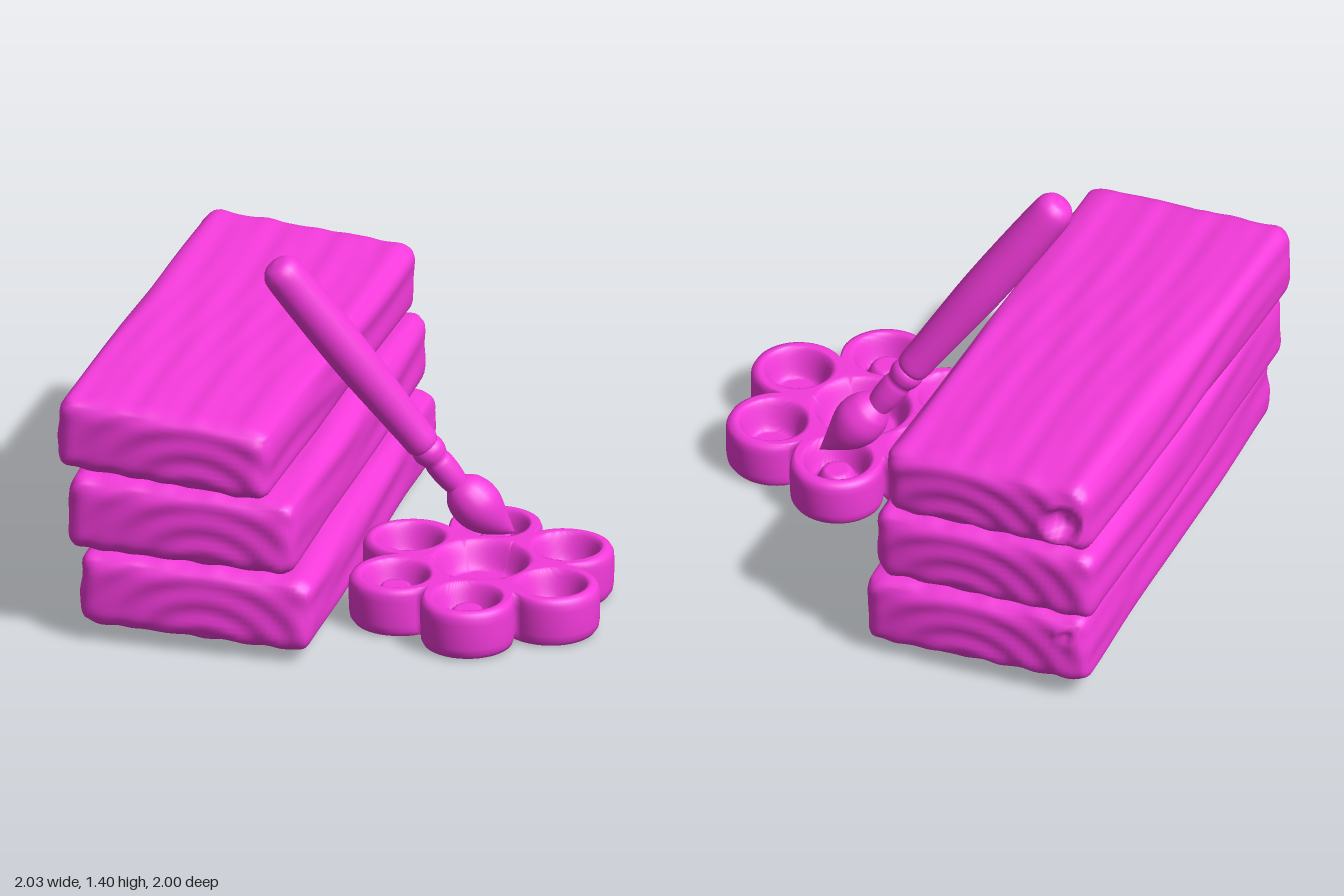
import * as THREE from 'three';
import { mergeVertices } from 'three/addons/utils/BufferGeometryUtils.js';

const material = new THREE.MeshStandardMaterial({ color: 0xf53bdc });
const clamp = THREE.MathUtils.clamp;
const smooth = THREE.MathUtils.smoothstep;

function mesh(name, geometry) {
  const m = new THREE.Mesh(geometry, material);
  m.name = name;
  return m;
}

// Weld shared corners so that normals run smoothly across the surface
function weld(geometry) {
  geometry.deleteAttribute('uv');
  geometry.deleteAttribute('normal');
  const g = mergeVertices(geometry, 1e-5);
  g.computeVertexNormals();
  return g;
}

// Closed surface from rings: f(u, v) returns a point, u along, v around
function rings(f, nu, nv) {
  const pos = [], index = [];
  for (let i = 0; i <= nu; i++) {
    for (let j = 0; j < nv; j++) pos.push(...f(i / nu, j / nv));
  }
  for (let i = 0; i < nu; i++) {
    for (let j = 0; j < nv; j++) {
      const a = i * nv + j, b = i * nv + (j + 1) % nv;
      index.push(a, b, a + nv, b, b + nv, a + nv);
    }
  }
  const g = new THREE.BufferGeometry();
  g.setAttribute('position', new THREE.Float32BufferAttribute(pos, 3));
  g.setIndex(index);
  return weld(g);
}

// Plank: rounded box with shallow wood grain, growth rings and an optional knot hole
function plank(name, w, h, l, seed, knot) {
  const R = 0.07;
  const g = weld(new THREE.BoxGeometry(w, h, l, 40, 14, 64));
  const p = g.attributes.position;
  const v = new THREE.Vector3(), core = new THREE.Vector3(), n = new THREE.Vector3();
  for (let i = 0; i < p.count; i++) {
    v.fromBufferAttribute(p, i);
    core.set(
      clamp(v.x, R - w / 2, w / 2 - R),
      clamp(v.y, R - h / 2, h / 2 - R),
      clamp(v.z, R - l / 2, l / 2 - R));
    n.subVectors(v, core).normalize();
    const grain = Math.sin(v.x * 34 + v.y * 38 + 2.5 * Math.sin(v.z * 2.3 + seed))
      + 0.6 * Math.sin(v.x * 61 - v.y * 47 + 2 * Math.sin(v.z * 3.1 + seed * 2));
    const ring = Math.sin(Math.hypot(v.x - 0.05 * seed, (v.y + 0.2) * 1.3) * 48);
    const end = Math.abs(n.z);
    let push = 0.003 * grain * (1 - end) + 0.005 * ring * end;
    if (knot && v.z < 0) {
      const d = Math.hypot(v.x - knot.x, v.y - knot.y) / knot.r;
      push += end * (0.008 * Math.exp(-((d - 1) ** 2) * 20) - knot.depth * (1 - smooth(d, 0.4, 0.95)));
    }
    v.copy(core).addScaledVector(n, R + push);
    p.setXYZ(i, v.x, v.y, v.z);
  }
  g.computeVertexNormals();
  return mesh(name, g);
}

function createPlanks() {
  const stack = new THREE.Group();
  stack.name = 'plankStack';
  const rows = [
    // name, x, y, width, height, yaw, roll, knot
    ['bottomPlank', -0.44, 0.205, 0.93, 0.305, 0, -0.032, { x: -0.38, y: 0.07, r: 0.04, depth: 0.02 }],
    ['middlePlank', -0.485, 0.522, 0.92, 0.31, -0.012, -0.022, null],
    ['topPlank', -0.528, 0.837, 0.865, 0.3, -0.045, -0.055, { x: -0.33, y: -0.02, r: 0.09, depth: 0.06 }],
  ];
  rows.forEach(([name, x, y, w, h, yaw, roll, knot], i) => {
    const m = plank(name, w, h, 1.96, i + 1, knot);
    m.position.set(x, y, 0);
    m.rotation.set(0, yaw, roll, 'YXZ');
    stack.add(m);
  });
  return stack;
}

// Palette: six round petals, a well in each and a larger well in the middle
function createPalette() {
  const petals = [];
  for (let i = 0; i < 6; i++) {
    const a = THREE.MathUtils.degToRad(24 + 60 * i);
    petals.push({ a, x: 0.355 * Math.cos(a), z: 0.355 * Math.sin(a), paint: [1, 2, 4].includes(i) });
  }
  const outline = (t) => Math.max(...petals.map(({ a }) => {
    const s = 0.355 * Math.sin(t - a), c = 0.355 * Math.cos(t - a);
    return Math.abs(s) < 0.183 && c > 0 ? c + Math.sqrt(0.0335 - s * s) : 0.33;
  }));
  const height = (x, z) => {
    let y = 0.2 - 0.11 * (1 - smooth(Math.hypot(x, z), 0.13, 0.195));
    for (const p of petals) {
      const d = Math.hypot(x - p.x, z - p.z);
      y -= 0.12 * (1 - smooth(d, 0.085, 0.14));
      if (p.paint) y += 0.07 * (1 - smooth(d, 0.05, 0.095));
    }
    return y;
  };
  // Rounded rim, wall and underside as [inset, y]
  const wall = [[0.03, 0.2], [0.012, 0.193], [0.002, 0.175], [0, 0.15], [0, 0.1], [0.002, 0.05],
    [0.006, 0.025], [0.02, 0.006], [0.04, 0], [0.2, 0]];
  const top = 56, n = top + wall.length;
  const f = (u, v) => {
    const t = v * Math.PI * 2, R = outline(t), i = Math.round(u * n);
    let r = 0, y = 0;
    if (i < top) {
      r = (R - 0.03) * i / top;
      y = height(r * Math.cos(t), r * Math.sin(t));
    } else if (i < n) {
      r = R - wall[i - top][0];
      y = wall[i - top][1];
    }
    return [r * Math.cos(t), y, r * Math.sin(t)];
  };
  const m = mesh('palette', rings(f, n, 180));
  m.position.set(0.52, 0, 0.25);
  return m;
}

// Round section swept along points given as [x, y, z, radius]
function sweep(name, points, nu, nv) {
  const path = new THREE.CatmullRomCurve3(points.map((p) => new THREE.Vector3(p[0], p[1], p[2])));
  const size = new THREE.CatmullRomCurve3(points.map((p, i) => new THREE.Vector3(i, p[3], 0)));
  const f = (u, v) => {
    const T = path.getTangent(u);
    const N = T.clone().cross(new THREE.Vector3(0, 0, 1)).normalize();
    const B = T.clone().cross(N);
    const a = v * Math.PI * 2;
    const r = u === 0 || u === 1 ? 0 : Math.max(0, size.getPoint(u).y);
    return path.getPoint(u)
      .addScaledVector(N, r * Math.cos(a))
      .addScaledVector(B, r * Math.sin(a)).toArray();
  };
  return mesh(name, rings(f, nu, nv));
}

function createBrush() {
  const brush = new THREE.Group();
  brush.name = 'paintbrush';
  const start = new THREE.Vector3(-0.3, 1.38, 0.292);
  const axis = new THREE.Vector3(0.545, -0.805, -0.218);
  // Profiles along the shaft as [position, radius]
  const along = (profile) => profile.map(([s, r]) => [...start.clone().addScaledVector(axis, s).toArray(), r]);
  brush.add(sweep('handle', along([[0, 0], [0.012, 0.05], [0.05, 0.077], [0.15, 0.083], [0.35, 0.086],
    [0.55, 0.085], [0.75, 0.077], [0.9, 0.07], [0.985, 0.066], [1.01, 0.05], [1.015, 0]]), 44, 20));
  brush.add(sweep('ferrule', along([[0.99, 0], [0.995, 0.05], [1.02, 0.065], [1.05, 0.062], [1.075, 0.053],
    [1.1, 0.057], [1.16, 0.056], [1.22, 0.047], [1.25, 0.04], [1.255, 0]]), 36, 20));
  brush.add(sweep('bristles', [[0.355, 0.42, 0.03, 0], [0.362, 0.41, 0.028, 0.045], [0.388, 0.378, 0.022, 0.083],
    [0.43, 0.325, 0.01, 0.1], [0.475, 0.272, -0.008, 0.085], [0.525, 0.225, -0.03, 0.046],
    [0.575, 0.185, -0.055, 0]], 30, 20));
  return brush;
}

export function createModel() {
  const model = new THREE.Group();
  model.name = 'planksWithPaletteAndBrush';
  model.add(createPlanks(), createPalette(), createBrush());
  return model;
}
